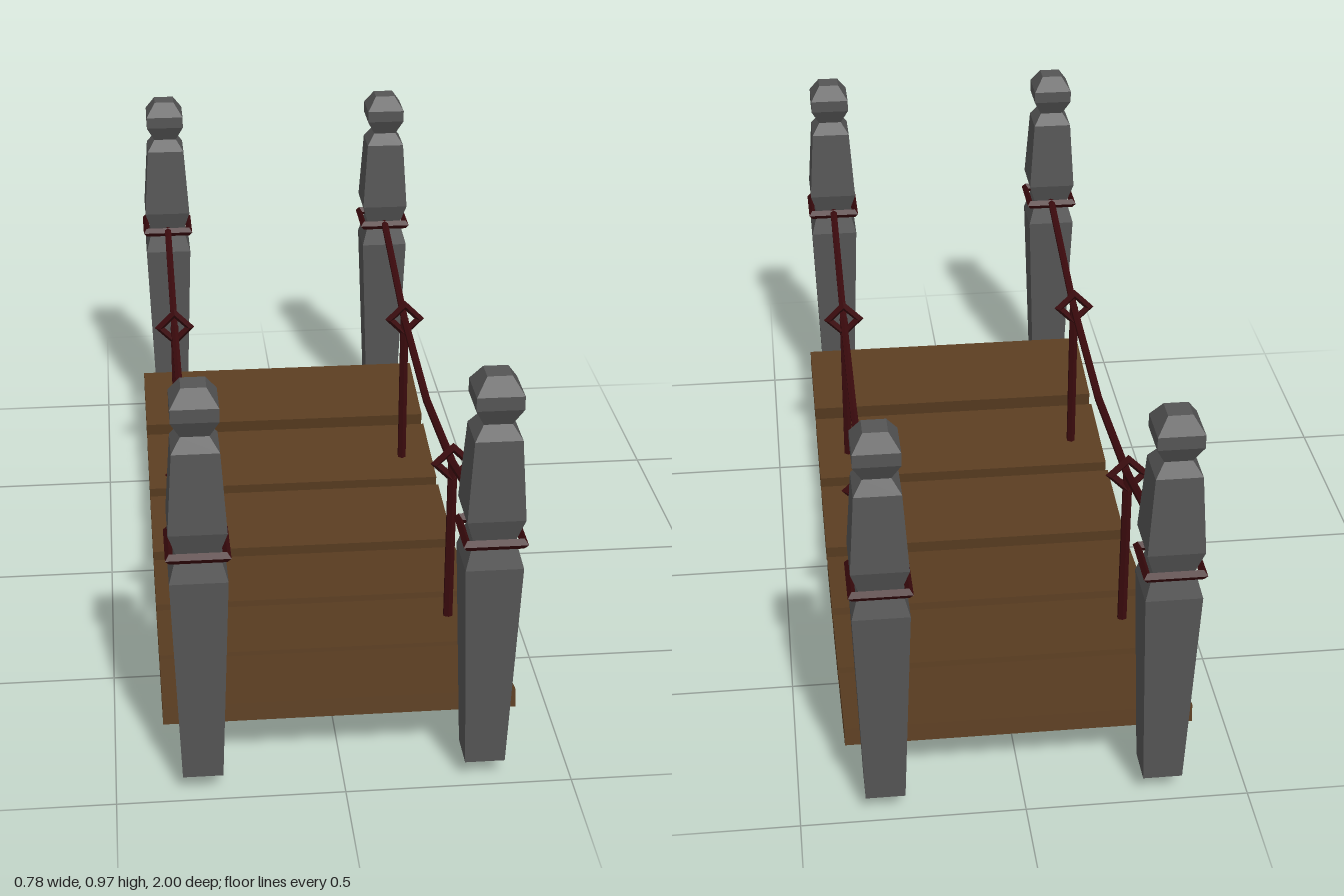
import * as THREE from 'three';

const flat = (g) => {
  const out = g.index ? g.toNonIndexed() : g;
  out.computeVertexNormals();
  return out;
};

function material(name, color) {
  const m = new THREE.MeshStandardMaterial({ color });
  m.name = name;
  return m;
}

export function createModel() {
  const group = new THREE.Group();
  const stone = material('grey stone', 0x555555);
  const wood = material('brown wood', 0x5a3d21);
  const rope = material('dark red rope', 0x3a0a0d);

  const add = (name, geometry, mat, x = 0, y = 0, z = 0) => {
    const mesh = new THREE.Mesh(geometry, mat);
    mesh.name = name;
    mesh.position.set(x, y, z);
    group.add(mesh);
    return mesh;
  };

  // Square post: [half width, height]
  const profile = [
    [0, 0.045], [0.044, 0.045], [0.062, 0.54], [0.045, 0.6], [0.062, 0.655],
    [0.05, 0.835], [0.03, 0.865], [0.05, 0.905], [0.05, 0.935], [0.026, 0.972], [0, 0.972],
  ].map(([h, y]) => new THREE.Vector2(h * Math.SQRT2, y));
  const postGeo = flat(new THREE.LatheGeometry(profile, 4, Math.PI / 4));

  // Square rope loop round each post, and diamond knot on each upright
  const loopGeo = flat(new THREE.TorusGeometry(0.085, 0.012, 4, 4).rotateZ(Math.PI / 4).rotateX(Math.PI / 2));
  const knotGeo = flat(new THREE.TorusGeometry(0.04, 0.013, 4, 4));
  const uprightGeo = flat(new THREE.CylinderGeometry(0.012, 0.012, 0.43, 6));

  // Straight piece of rope between two points
  const up = new THREE.Vector3(0, 1, 0);
  const ropePiece = (a, b) => {
    const dir = b.clone().sub(a);
    const mid = a.clone().add(b).multiplyScalar(0.5);
    const g = flat(new THREE.CylinderGeometry(0.01, 0.01, dir.length() + 0.002, 6));
    const mesh = add('handRope', g, rope, mid.x, mid.y, mid.z);
    mesh.quaternion.setFromUnitVectors(up, dir.normalize());
  };

  for (const sx of [1, -1]) {
    const x = 0.31 * sx;
    for (const sz of [1, -1]) {
      add('post', postGeo, stone, x, 0, 0.932 * sz);
      add('postLoop', loopGeo, rope, x, 0.6, 0.932 * sz);
      add('ropeUpright', uprightGeo, rope, x, 0.285, 0.425 * sz);
      add('ropeKnot', knotGeo, rope, x, 0.5, 0.425 * sz);
    }
    const points = [[0.6, 0.93], [0.602, 0.86], [0.498, 0.425], [0.46, 0], [0.498, -0.425], [0.602, -0.86], [0.6, -0.93]]
      .map(([y, z]) => new THREE.Vector3(x, y, z));
    for (let i = 0; i < points.length - 1; i++) ropePiece(points[i], points[i + 1]);
  }

  // Planks: [centre height, centre z, slope angle], mirrored front to back
  const plankGeo = new THREE.BoxGeometry(0.784, 0.042, 0.262);
  for (const [y, z, angle] of [[0.034, 0.154, 0.09], [0.068, 0.45, 0.133], [0.119, 0.747, 0.163]]) {
    for (const s of [1, -1]) add('plank', plankGeo, wood, 0, y, z * s).rotation.x = -angle * s;
  }

  return group;
}
